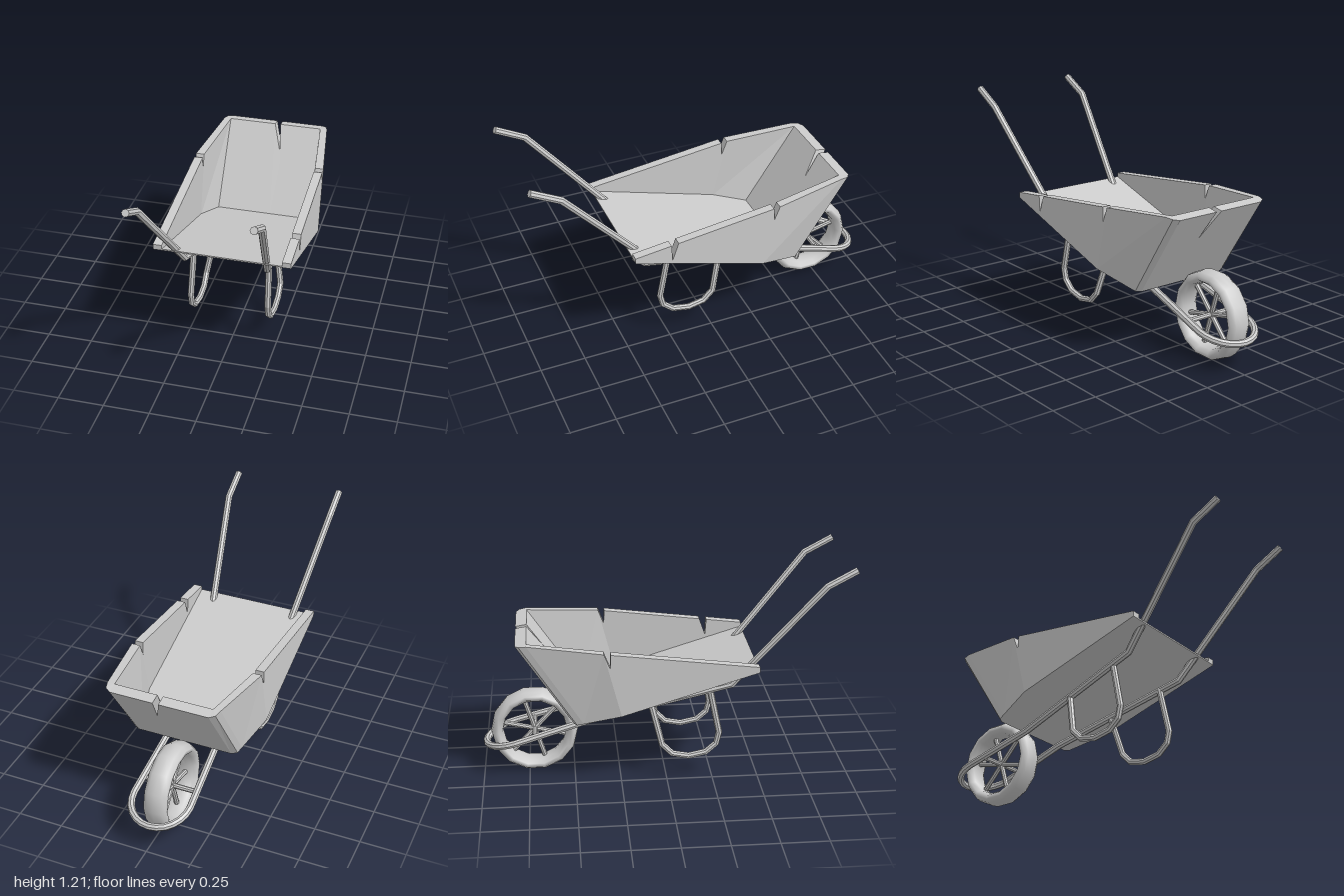
import * as THREE from 'three';

const V = (x, y, z) => new THREE.Vector3(x, y, z);
const flat = new THREE.MeshStandardMaterial({ color: 0xcccccc, flatShading: true });
const smooth = new THREE.MeshStandardMaterial({ color: 0xcccccc });

// Path with one tube ring exactly at each point, mitred at the bends
class Polyline extends THREE.Curve {
  constructor(points) { super(); this.points = points; }
  getPoint(t, target = V()) {
    const n = this.points.length - 1, i = Math.min(Math.floor(t * n + 1e-6), n - 1);
    return target.lerpVectors(this.points[i], this.points[i + 1], t * n - i);
  }
  getPointAt(t, target) { return this.getPoint(t, target); }
  getTangentAt(t, target = V()) {
    const p = this.points, n = p.length - 1, i = Math.round(t * n);
    target.set(0, 0, 0);
    if (i > 0) target.add(p[i].clone().sub(p[i - 1]).normalize());
    if (i < n) target.add(p[i + 1].clone().sub(p[i]).normalize());
    return target.normalize();
  }
}

function named(name, geometry, material = flat) {
  const mesh = new THREE.Mesh(geometry, material);
  mesh.name = name;
  return mesh;
}

const pipe = (name, points, radius) =>
  named(name, new THREE.TubeGeometry(new Polyline(points), points.length - 1, radius, 8));

// Height of the sloping tub floor and of the side rim at depth z
const floorY = (z) => 0.37 + 0.306 * (z + 0.5);
const rimY = (z) => (z > -0.34 ? 0.7 + (0.48 - z) * 0.1235 : 0.801 + (-0.34 - z) * 0.085);

// Wall stations: corners in order outer bottom, outer top, inner top, inner bottom
function sideStation(topZ, bottomZ, topY = rimY(topZ)) {
  return [
    V(0.37, floorY(bottomZ), bottomZ), V(0.37, topY, topZ),
    V(0.322, topY, topZ), V(0.322, floorY(bottomZ), bottomZ),
  ];
}
function cornerStation(x, topZ, topY, bottomZ) {
  return [
    V(x, floorY(bottomZ), bottomZ), V(x, topY, topZ),
    V(0.27, 0.835, -0.74), V(0.27, floorY(-0.44), -0.44),
  ];
}
function rearStation(topX, bottomX, t = 1) {
  return [
    V(bottomX, 0.37, -0.5), V(topX, 0.37 + 0.455 * t, -0.5 - 0.3 * t),
    V(topX, 0.385 + 0.45 * t, -0.44 - 0.3 * t), V(bottomX, floorY(-0.44), -0.44),
  ];
}

function wallGeometry() {
  // The rim dips at the lowered stations to form the splits
  const frontSplit = [sideStation(0.28, 0.3), sideStation(0.275, 0.27, 0.63), sideStation(0.24, 0.2)];
  const bendSplit = [sideStation(-0.305, -0.2), sideStation(-0.308, -0.225, 0.72), sideStation(-0.34, -0.25)];
  const corner = [
    cornerStation(0.31, -0.74, 0.835, -0.45),
    cornerStation(0.299, -0.78, 0.83, -0.485),
    cornerStation(0.27, -0.8, 0.825, -0.5),
  ];
  const rearSplit = [rearStation(0.032, 0.13), rearStation(0.06, 0.09, 0.64), rearStation(0, 0.04)];
  const plainSide = [sideStation(0.48, 0.48), ...bendSplit, ...corner];
  const mirrored = plainSide.map((s) => s.map((p) => V(-p.x, p.y, p.z))).reverse();
  const stations = [plainSide[0], ...frontSplit, ...bendSplit, ...corner, ...rearSplit, ...mirrored];

  const positions = stations.flat().flatMap((p) => [p.x, p.y, p.z]);
  const index = [];
  const quad = (a, b, c, d) => index.push(a, b, c, a, c, d);
  const last = (stations.length - 1) * 4;
  for (let i = 0; i < last; i += 4) {
    for (let k = 0; k < 4; k++) {
      const n = (k + 1) % 4;
      quad(i + k, i + 4 + k, i + 4 + n, i + n);
    }
  }
  quad(0, 1, 2, 3);
  quad(last + 3, last + 2, last + 1, last);
  const geometry = new THREE.BufferGeometry();
  geometry.setAttribute('position', new THREE.Float32BufferAttribute(positions, 3));
  geometry.setIndex(index);
  geometry.computeVertexNormals();
  return geometry;
}

// Thin floor plate, laid flat and tilted along the slope
function floorGeometry() {
  const half = [[0.37, -0.48], [0.37, 0.25], [0.31, 0.45], [0.295, 0.485], [0.27, 0.5]];
  const outline = [...half, ...half.map(([x, y]) => [-x, y]).reverse()];
  const shape = new THREE.Shape(outline.map(([x, y]) => new THREE.Vector2(x, y)));
  const geometry = new THREE.ExtrudeGeometry(shape, { depth: 0.008, bevelEnabled: false });
  const p = geometry.attributes.position;
  for (let i = 0; i < p.count; i++) {
    const z = -p.getY(i);
    p.setXYZ(i, p.getX(i), floorY(z) + p.getZ(i), z);
  }
  geometry.computeVertexNormals();
  return geometry;
}

function createTub() {
  const tub = new THREE.Group();
  tub.name = 'tub';
  tub.add(named('tubWalls', wallGeometry()), named('tubFloor', floorGeometry()));
  return tub;
}

// Handles, side rails and the loop around the wheel are one bent pipe
function createFrame() {
  const frame = new THREE.Group();
  frame.name = 'frame';
  const mirror = (p) => V(-p.x, p.y, p.z);
  const railY = (z) => 0.555 + 0.2857 * (z - 0.35);
  const half = [V(0.31, 1.203, 0.985), V(0.31, 1.12, 0.83), V(0.227, 0.555, 0.35), V(0.14, railY(-0.42), -0.42)];
  const loop = [];
  for (let i = 0; i <= 12; i++) {
    const a = (i / 12) * Math.PI, z = -0.82 - 0.162 * Math.sin(a);
    loop.push(V(0.16 * Math.cos(a), railY(z), z));
  }
  frame.add(pipe('handlesAndRails', [...half, ...loop, ...half.map(mirror).reverse()], 0.02));

  const legPoints = [
    V(0.21, 0.525, 0.235), V(0.217, 0.27, 0.287), V(0.217, 0.205, 0.272), V(0.217, 0.155, 0.215),
    V(0.217, 0.135, 0.12), V(0.217, 0.153, 0.03), V(0.217, 0.21, -0.025), V(0.178, 0.432, -0.08),
  ];
  frame.add(pipe('leftLeg', legPoints, 0.018), pipe('rightLeg', legPoints.map(mirror), 0.018));

  // Closed handle ends
  for (const side of [1, -1]) {
    const cap = named('handleEnd', new THREE.CircleGeometry(0.02, 8));
    cap.position.set(0.31 * side, 1.203, 0.985);
    cap.lookAt(0.31 * side, 1.286, 1.14);
    frame.add(cap);
  }
  frame.position.x = -0.012;
  return frame;
}

function createWheel() {
  const wheel = new THREE.Group();
  wheel.name = 'wheel';
  const tyre = named('tyre', new THREE.TorusGeometry(0.207, 0.034, 10, 14).scale(1, 1, 1.95), smooth);
  tyre.rotation.y = Math.PI / 2;
  const axle = named('axle', new THREE.CylinderGeometry(0.014, 0.014, 0.29, 8));
  axle.rotation.z = Math.PI / 2;
  wheel.add(tyre, axle);
  for (let i = 0; i < 3; i++) {
    const spoke = named('spokePair', new THREE.CylinderGeometry(0.014, 0.014, 0.37, 8));
    spoke.rotation.x = THREE.MathUtils.degToRad(13 + 60 * i - 90);
    wheel.add(spoke);
  }
  wheel.position.set(-0.023, 0.243, -0.715);
  return wheel;
}

export function createModel() {
  const model = new THREE.Group();
  model.name = 'wheelbarrow';
  model.add(createTub(), createFrame(), createWheel());
  return model;
}
